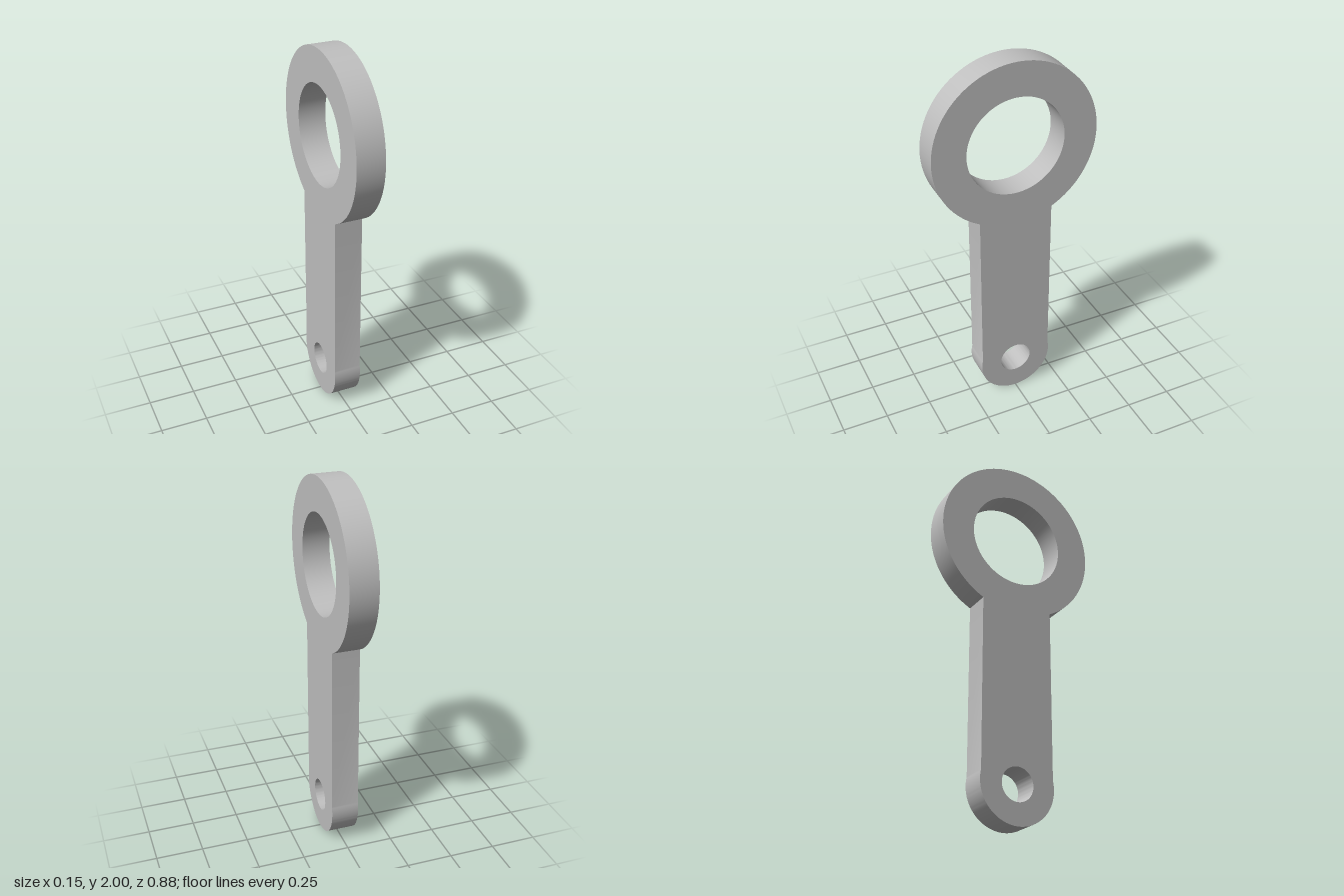
import * as THREE from 'three';
import { toCreasedNormals } from 'three/addons/utils/BufferGeometryUtils.js';

const THICKNESS = 0.148;
const ARM_HALF = 0.2;
const RING = { y: 1.558, outer: 0.442, hole: 0.262 };
const FOOT = { y: 0.205, outer: 0.205, hole: 0.088 };

function circleHole({ y, hole }) {
  return new THREE.Path().absarc(0, y, hole, 0, Math.PI * 2, true);
}

export function createModel() {
  const group = new THREE.Group();
  group.name = 'linkArm';
  const steel = new THREE.MeshStandardMaterial({ color: 0xbfbfbf });
  steel.name = 'grey steel';

  // One outline: large ring, straight arm and rounded foot
  const a = Math.asin(ARM_HALF / RING.outer);
  const b = Math.acos(ARM_HALF / FOOT.outer);
  const outline = new THREE.Shape();
  outline.absarc(0, RING.y, RING.outer, -Math.PI / 2 + a, Math.PI * 1.5 - a, false);
  outline.absarc(0, FOOT.y, FOOT.outer, Math.PI - b, Math.PI * 2 + b, false);
  outline.closePath();
  outline.holes.push(circleHole(RING), circleHole(FOOT));

  // Plate, turned so that its faces look along x
  const plate = new THREE.ExtrudeGeometry(outline, {
    depth: THICKNESS, bevelEnabled: false, curveSegments: 40,
  });
  plate.translate(0, 0, -THICKNESS / 2);
  plate.rotateY(Math.PI / 2);

  const mesh = new THREE.Mesh(toCreasedNormals(plate, 0.25), steel);
  mesh.name = 'eyeletPlate';
  group.add(mesh);
  return group;
}
